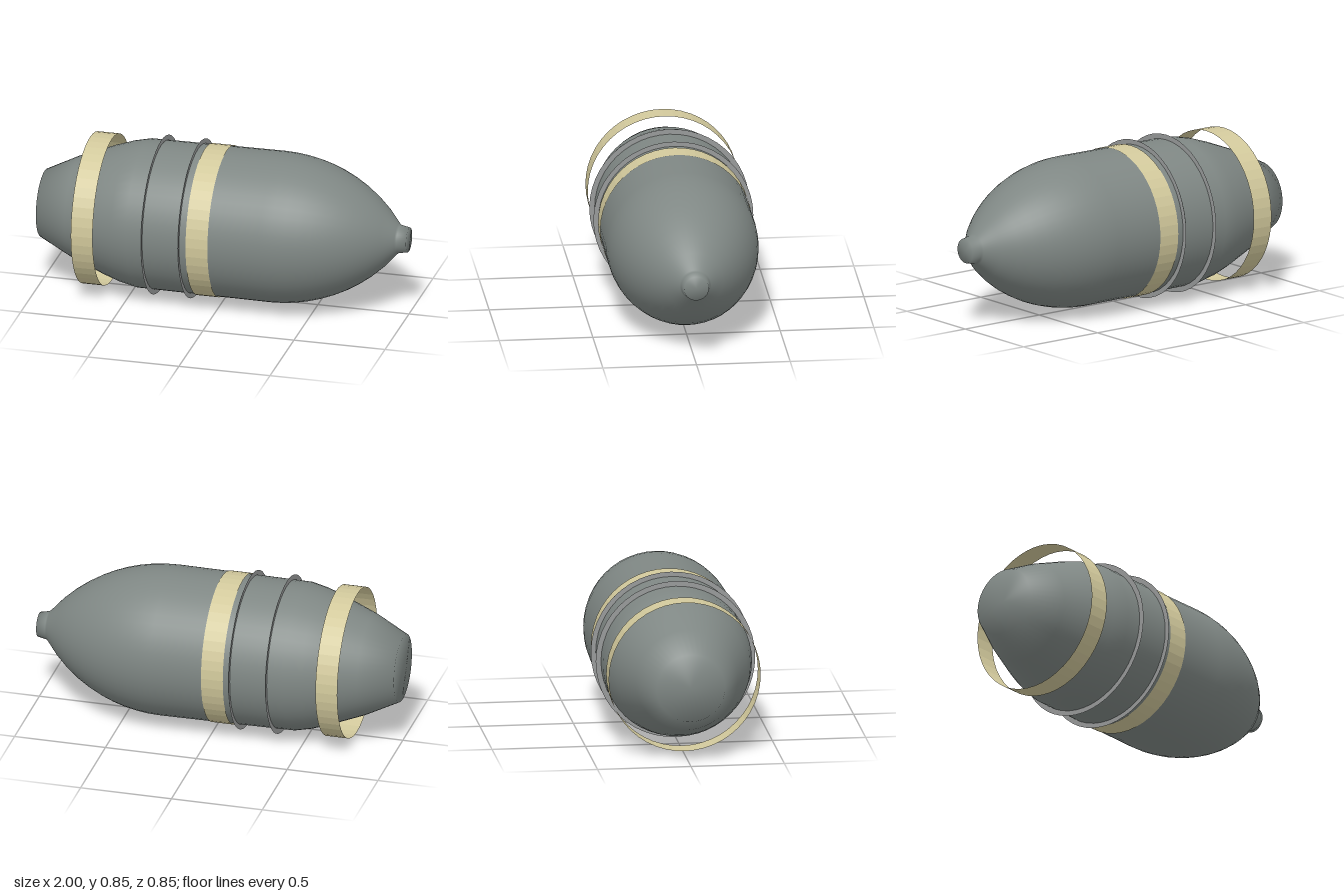
import * as THREE from 'three';

const SEGMENTS = 48;
const CENTRE_Y = 0.427;

export function createModel() {
  const steel = new THREE.MeshStandardMaterial({ color: 0x7f8784 });
  steel.name = 'greySteel';
  const cream = new THREE.MeshStandardMaterial({ color: 0xd2c99c, flatShading: true, side: THREE.DoubleSide });
  cream.name = 'creamBand';
  const ringGrey = new THREE.MeshStandardMaterial({ color: 0x989a9a, side: THREE.DoubleSide });
  ringGrey.name = 'ringGrey';

  const model = new THREE.Group();
  model.name = 'shell';

  const add = (name, geometry, material, x = 0) => {
    const mesh = new THREE.Mesh(geometry, material);
    mesh.name = name;
    mesh.position.set(x, CENTRE_Y, 0);
    model.add(mesh);
  };

  // Body profile as [distance along x, radius]: tail cone, cylinder, ogive, nose plug
  const profile = [
    [-1, 0], [-1, 0.183], [-0.82, 0.273], [-0.63, 0.348],
    [-0.54, 0.378], [-0.45, 0.398], [-0.12, 0.401], [0, 0.402],
  ];
  const arcStart = 0.28, arcEnd = 0.94, arcRadius = 0.84;
  for (let i = 0; i <= 10; i++) {
    const d = (arcEnd - arcStart) * i / 10;
    profile.push([arcStart + d, 0.404 - arcRadius + Math.sqrt(arcRadius ** 2 - d ** 2)]);
  }
  profile.push([0.95, 0.076], [1, 0.066], [1, 0]);
  const body = new THREE.LatheGeometry(profile.map(([x, r]) => new THREE.Vector2(r, x)), SEGMENTS);
  body.rotateZ(-Math.PI / 2);
  add('body', body, steel);

  // Open hoops, the rear one standing clear of the tapered tail
  for (const [name, x] of [['frontBand', -0.06], ['rearBand', -0.69]]) {
    const band = new THREE.CylinderGeometry(0.406, 0.406, 0.12, SEGMENTS, 1, true);
    band.rotateZ(-Math.PI / 2);
    add(name, band, cream, x);
  }

  // Paper-thin driving rings
  for (const [name, x] of [['frontRing', -0.157], ['rearRing', -0.36]]) {
    const ring = new THREE.RingGeometry(0.395, 0.427, SEGMENTS);
    ring.rotateY(Math.PI / 2);
    add(name, ring, ringGrey, x);
  }

  return model;
}
